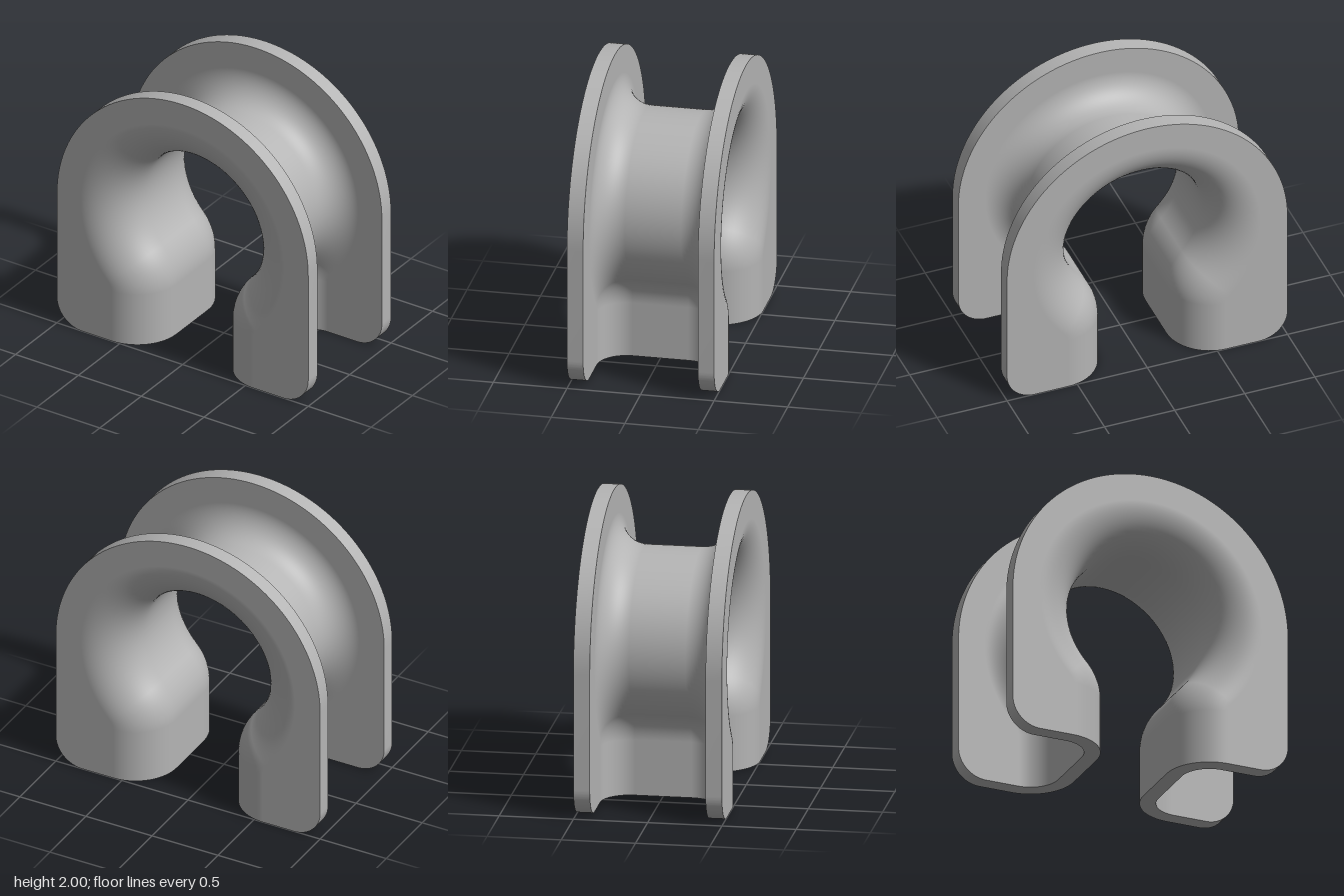
import * as THREE from 'three';
import { toCreasedNormals } from 'three/addons/utils/BufferGeometryUtils.js';

const WALL = 0.11, CORE = 0.19, DEEP = 0.31;   // wall thickness, half flat width, fillet depth
const HOLE_Y = 1, HOLE_R = 0.5, NECK_X = 0.255, NECK_R = 0.4;

// Inner opening from right foot over the top to left foot, with outward normals
function openingStations() {
  const half = [];
  const cx = NECK_X + NECK_R;
  const cy = HOLE_Y - Math.sqrt((HOLE_R + NECK_R) ** 2 - cx ** 2);
  const join = Math.atan2(cy - HOLE_Y, cx);
  half.push({ x: NECK_X, y: 0, nx: 1, ny: 0 });
  for (let i = 0; i < 16; i++) {               // neck bend
    const a = (join * i) / 16, nx = Math.cos(a), ny = Math.sin(a);
    half.push({ x: cx - NECK_R * nx, y: cy - NECK_R * ny, nx, ny });
  }
  for (let i = 0; i <= 40; i++) {              // round eye
    const a = join + ((Math.PI / 2 - join) * i) / 40, nx = Math.cos(a), ny = Math.sin(a);
    half.push({ x: HOLE_R * nx, y: HOLE_Y + HOLE_R * ny, nx, ny });
  }
  const mirrored = half.slice(0, -1).reverse().map(s => ({ ...s, x: -s.x, nx: -s.nx }));
  return [...half, ...mirrored];
}

// Half-pipe section: depth d from the opening, width z, and its normal
function section(radius, sign) {
  const left = [];
  for (let i = 0; i <= 16; i++) {
    const a = (Math.PI / 2) * (i / 16), s = Math.sin(a), c = Math.cos(a);
    left.push({ d: DEEP - radius * s, z: -CORE - radius * c, nd: sign * s, nz: sign * c });
  }
  const right = left.slice().reverse().map(p => ({ ...p, z: -p.z, nz: -p.nz }));
  return [...left, ...right];
}

// Grid surface from rows of { p, n }
function surface(rows, flip) {
  const pos = [], nor = [], idx = [], w = rows[0].length;
  rows.forEach(row => row.forEach(v => { pos.push(...v.p); nor.push(...v.n); }));
  for (let i = 0; i < rows.length - 1; i++) {
    for (let j = 0; j < w - 1; j++) {
      const a = i * w + j, b = a + w, c = b + 1, d = a + 1;
      if (flip) idx.push(a, c, b, a, d, c);
      else idx.push(a, b, c, a, c, d);
    }
  }
  const g = new THREE.BufferGeometry();
  g.setAttribute('position', new THREE.Float32BufferAttribute(pos, 3));
  g.setAttribute('normal', new THREE.Float32BufferAttribute(nor, 3));
  g.setIndex(idx);
  return g;
}

export function createModel() {
  const group = new THREE.Group();
  group.name = 'ropeThimble';
  const metal = new THREE.MeshStandardMaterial({ color: 0xb4b4b4 });
  metal.name = 'grey metal';
  const add = (geometry, name) => {
    const mesh = new THREE.Mesh(geometry, metal);
    mesh.name = name;
    group.add(mesh);
    return mesh;
  };

  const path = openingStations();
  const inner = section(DEEP, -1), outer = section(DEEP - WALL, 1);
  const place = (s, q) => [s.x + s.nx * q.d, s.y + s.ny * q.d, q.z];
  const sweep = prof => path.map(s => prof.map(q => ({
    p: place(s, q), n: [s.nx * q.nd, s.ny * q.nd, q.nz],
  })));

  // Swept channel: opening side and rope groove
  add(surface(sweep(inner), true), 'openingWall');
  add(surface(sweep(outer), false), 'ropeGroove');

  // Flat feet closing the channel ends
  [[path[0], false, 'leftFootCap'], [path[path.length - 1], true, 'rightFootCap']].forEach(([s, flip, name]) => {
    const rows = [inner, outer].map(prof => prof.map(q => ({ p: place(s, q), n: [0, -1, 0] })));
    add(surface(rows, flip), name);
  });

  // Side flanges, bounded inside by the edge of the channel
  const shape = new THREE.Shape();
  shape.moveTo(NECK_X + DEEP, 0);
  shape.lineTo(0.8, 0);
  shape.absarc(0.8, 0.2, 0.2, -Math.PI / 2, 0, false);
  shape.lineTo(1, HOLE_Y);
  shape.absarc(0, HOLE_Y, 1, 0, Math.PI, false);
  shape.lineTo(-1, 0.2);
  shape.absarc(-0.8, 0.2, 0.2, Math.PI, 1.5 * Math.PI, false);
  path.slice().reverse().forEach(s => shape.lineTo(s.x + s.nx * DEEP, s.y + s.ny * DEEP));
  const flange = toCreasedNormals(
    new THREE.ExtrudeGeometry(shape, { depth: WALL, bevelEnabled: false, curveSegments: 40 }), 0.5);
  add(flange, 'frontFlange').position.z = CORE + DEEP - WALL;
  add(flange, 'backFlange').position.z = -CORE - DEEP;

  return group;
}
